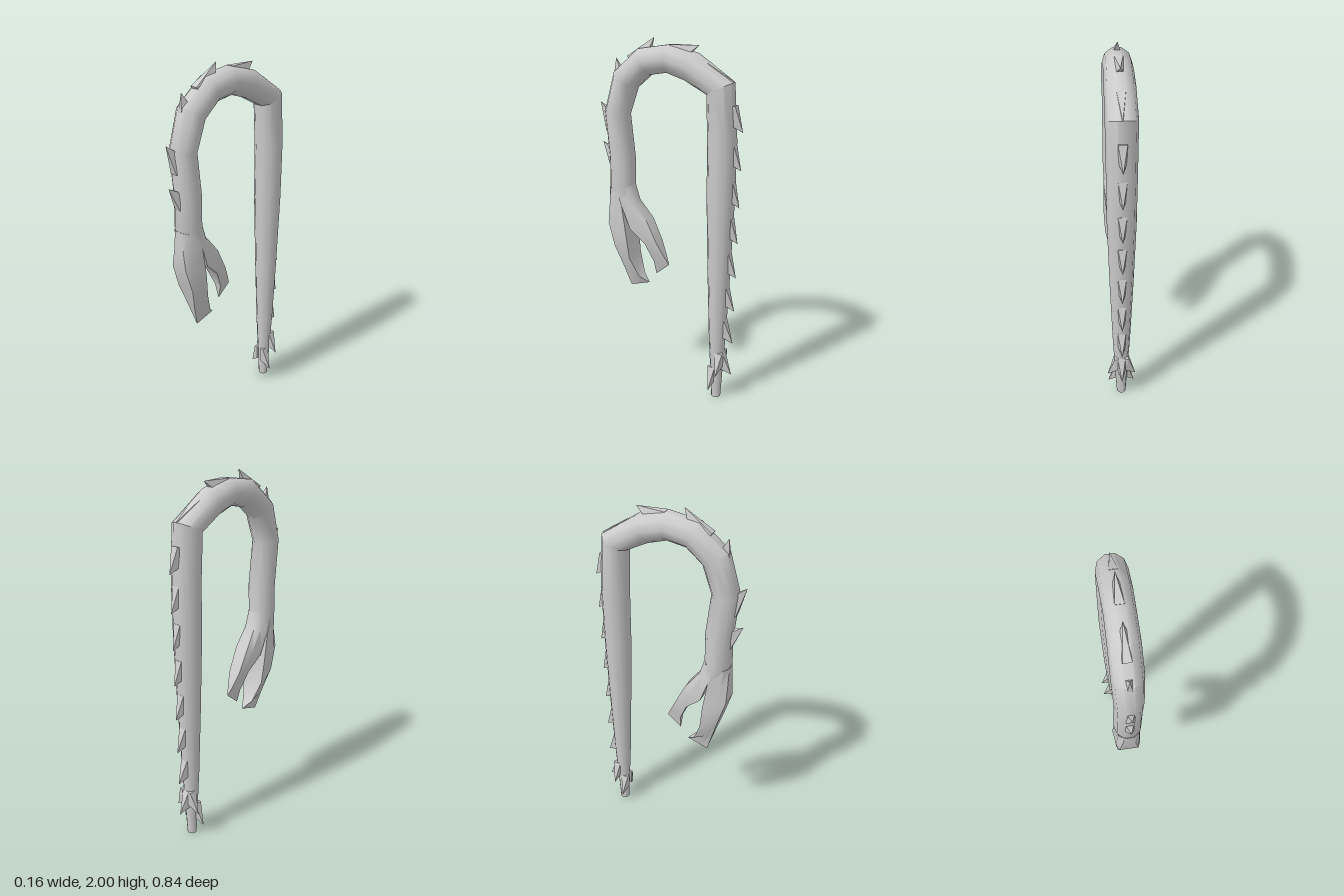
import * as THREE from 'three';
import { toCreasedNormals } from 'three/addons/utils/BufferGeometryUtils.js';
import { ConvexGeometry } from 'three/addons/geometries/ConvexGeometry.js';

const V = (x, y, z) => new THREE.Vector3(x, y, z);
const material = new THREE.MeshStandardMaterial({ color: 0xcccccc, side: THREE.DoubleSide });

// Skin a list of equal-sized closed sections and cap both ends
function loft(sections) {
  const n = sections[0].length;
  const pts = sections.flat();
  const tris = [];
  for (let i = 0; i < sections.length - 1; i++) {
    for (let j = 0; j < n; j++) {
      const a = i * n + j, b = i * n + (j + 1) % n;
      tris.push([a, b, b + n], [a, b + n, a + n]);
    }
  }
  const last = (sections.length - 1) * n;
  for (let j = 1; j < n - 1; j++) tris.push([0, j + 1, j], [last, last + j, last + j + 1]);
  // Turn the faces outward if the skin came out inverted
  const volume = tris.reduce((s, [a, b, c]) => s + pts[a].dot(pts[b].clone().cross(pts[c])), 0);
  if (volume < 0) tris.forEach(t => t.reverse());
  const geo = new THREE.BufferGeometry().setFromPoints(pts);
  geo.setIndex(tris.flat());
  return toCreasedNormals(geo, 0.75);
}

// Body: ten-sided rings along a hooked centre line [z, y, radius]
function bodyGeometry() {
  const path = [
    [-0.305, 0, 0.026], [-0.305, 0.2, 0.037], [-0.305, 0.4, 0.048], [-0.305, 0.8, 0.063],
    [-0.305, 1.2, 0.075], [-0.305, 1.5, 0.077], [-0.29, 1.765, 0.079], [-0.13, 1.862, 0.077],
    [0, 1.897, 0.074], [0.137, 1.875, 0.076], [0.255, 1.775, 0.077], [0.312, 1.595, 0.072],
    [0.287, 1.35, 0.073], [0.29, 1.19, 0.073], [0.27, 1.1, 0.068],
  ];
  return loft(path.map(([z, y, r], i) => {
    const a = path[Math.max(i - 1, 0)], b = path[Math.min(i + 1, path.length - 1)];
    const out = V(0, b[0] - a[0], -(b[1] - a[1])).normalize();
    return Array.from({ length: 10 }, (_, k) => {
      const t = (k + 0.5) * Math.PI / 5;
      return V(r * Math.sin(t), y, z).addScaledVector(out, r * Math.cos(t));
    });
  }));
}

// Jaw: rows of [outer z, outer y, inner z, inner y, outer half width, inner half width]
function jawGeometry(rows) {
  return loft(rows.map(([oz, oy, iz, iy, wo, wi]) => {
    const at = (x, t) => V(x, iy + (oy - iy) * t, iz + (oz - iz) * t);
    const wm = (wo + 2 * wi) / 3;
    return [at(wi, 0), at(wm, 0.7), at(wo, 1), at(-wo, 1), at(-wm, 0.7), at(-wi, 0)];
  }));
}

// Spike: a wedge whose root starts at "root" and rises to "tip" on the side "out"
function spikeGeometry(tip, root, out) {
  const along = tip.clone().sub(root);
  const side = along.clone().cross(out).normalize().multiplyScalar(0.022);
  const heel = root.clone().addScaledVector(along, 0.65).addScaledVector(out, -0.045);
  const sunk = root.clone().addScaledVector(out, -0.02);
  const pts = [tip];
  for (const p of [root, heel, sunk]) pts.push(p.clone().add(side), p.clone().sub(side));
  return new ConvexGeometry(pts);
}

export function createModel() {
  const model = new THREE.Group();
  const add = (name, geo, parent = model) => {
    const mesh = new THREE.Mesh(geo, material);
    mesh.name = name;
    parent.add(mesh);
  };

  add('body', bodyGeometry());

  // Open mouth, each jaw narrowing to an upright blade
  add('upperJaw', jawGeometry([
    [0.36, 1.18, 0.285, 1.16, 0.024, 0.07],
    [0.36, 1.08, 0.26, 1.085, 0.034, 0.072],
    [0.36, 0.97, 0.235, 0.92, 0.052, 0.074],
    [0.32, 0.835, 0.22, 0.78, 0.056, 0.066],
    [0.285, 0.72, 0.175, 0.665, 0.027, 0.034],
    [0.245, 0.588, 0.127, 0.625, 0.001, 0.001],
  ]));
  add('lowerJaw', jawGeometry([
    [0.22, 1.2, 0.285, 1.16, 0.022, 0.068],
    [0.195, 1.11, 0.26, 1.085, 0.026, 0.07],
    [0.12, 1.01, 0.215, 0.955, 0.04, 0.06],
    [0.06, 0.885, 0.13, 0.875, 0.036, 0.045],
    [0.025, 0.81, 0.085, 0.77, 0.018, 0.022],
    [0, 0.757, 0.08, 0.69, 0.001, 0.001],
  ]));

  // Spikes over the bend and front: [tip z, tip y, root z, root y]
  const spikes = new THREE.Group();
  spikes.name = 'backSpikes';
  model.add(spikes);
  const rows = [
    [0.412, 1.425, 0.355, 1.29], [0.42, 1.645, 0.375, 1.49], [0.315, 1.885, 0.333, 1.71],
    [0.085, 2, 0.235, 1.9], [-0.17, 1.97, -0.01, 1.968], [-0.365, 1.8, -0.225, 1.888],
  ];
  // Evenly spaced spikes down the back
  for (let i = 0; i < 8; i++) {
    const y = 1.553 - i * 0.199;
    const surface = 0.305 + 0.073 * Math.min(1, 0.4 + (y + 0.14) * 0.52);
    rows.push([-0.417 + i * 0.003, y, -surface, y + 0.135]);
  }
  for (const [tz, ty, rz, ry] of rows) {
    const out = V(0, rz - tz, -(rz - tz === 0 ? 0 : ry - ty)).normalize();
    add('backSpike', spikeGeometry(V(0, ty, tz), V(0, ry, rz), out), spikes);
  }

  // Mirrored spikes at the sides of the tail
  const tailSpikes = new THREE.Group();
  tailSpikes.name = 'tailSpikes';
  model.add(tailSpikes);
  for (const s of [1, -1]) {
    for (const [x, y, z, rootX] of [[0.08, 0.165, -0.33, 0.04], [0.074, 0.065, -0.285, 0.034]]) {
      add('tailSpike', spikeGeometry(V(s * x, y, z), V(s * rootX, y + 0.13, z), V(s, 0, 0)), tailSpikes);
    }
  }
  return model;
}
